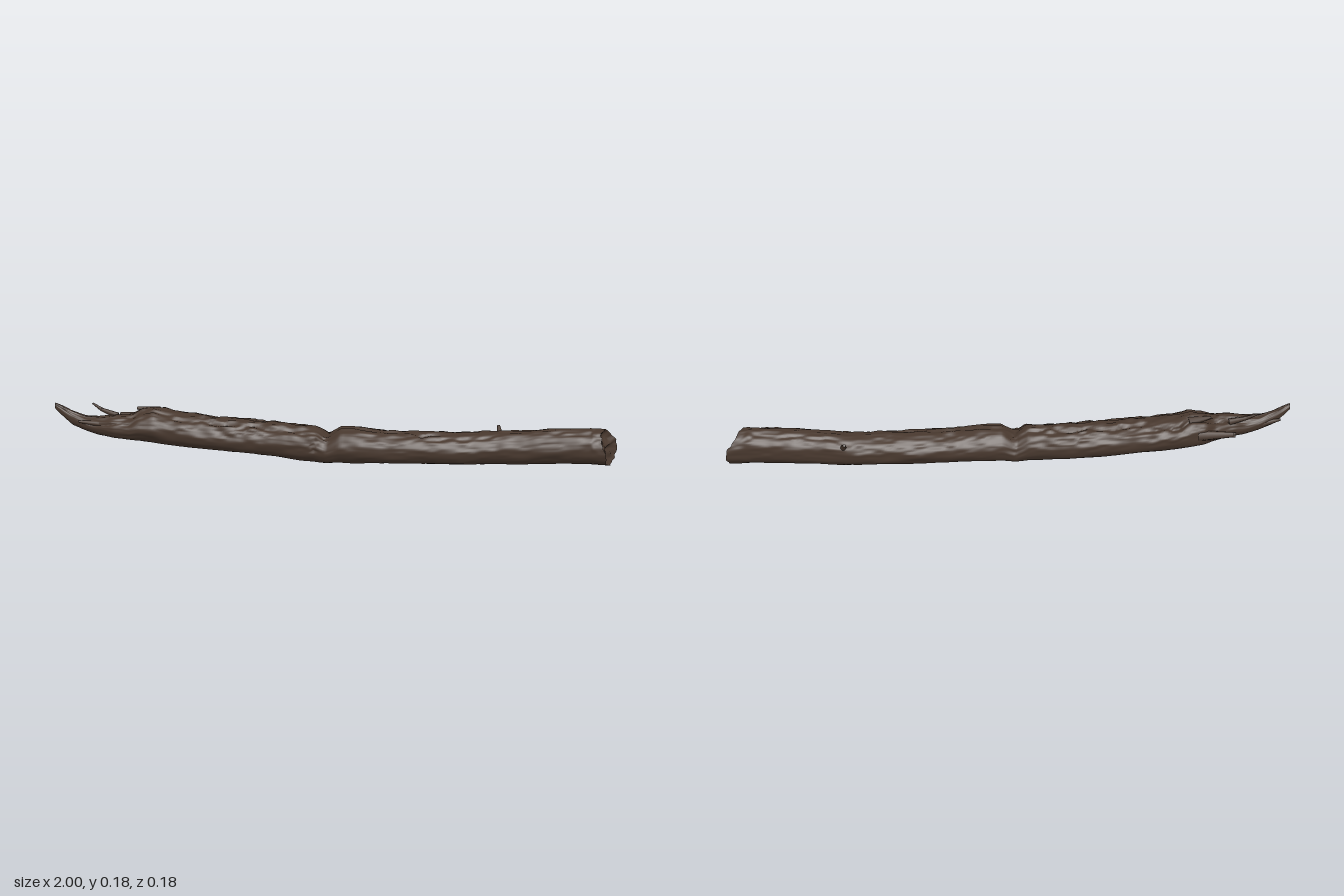
import * as THREE from 'three';

const SIDES = 72, RINGS = 230;

// outline of the log: x, bottom, top, back, front
const stations = [
  [-1.0, 0.165, 0.188, -0.003, 0.014],
  [-0.975, 0.14, 0.178, -0.01, 0.018],
  [-0.94, 0.108, 0.16, -0.012, 0.022],
  [-0.89, 0.09, 0.142, -0.022, 0.034],
  [-0.84, 0.076, 0.142, -0.03, 0.046],
  [-0.78, 0.067, 0.147, -0.036, 0.06],
  [-0.72, 0.06, 0.152, -0.06, 0.063],
  [-0.69, 0.057, 0.17, -0.08, 0.064],
  [-0.64, 0.05, 0.178, -0.089, 0.065],
  [-0.58, 0.044, 0.162, -0.088, 0.065],
  [-0.4, 0.03, 0.147, -0.085, 0.064],
  [-0.2, 0.015, 0.14, -0.076, 0.066],
  [-0.06, 0.007, 0.133, -0.06, 0.075],
  [-0.015, 0.004, 0.108, -0.057, 0.079],
  [0.03, 0.008, 0.136, -0.056, 0.083],
  [0.1, 0.01, 0.136, -0.055, 0.086],
  [0.2, 0.014, 0.127, -0.055, 0.083],
  [0.45, 0.017, 0.132, -0.056, 0.074],
  [0.58, 0.022, 0.139, -0.06, 0.066],
  [0.66, 0.026, 0.145, -0.047, 0.069],
  [0.8, 0.035, 0.159, -0.042, 0.075],
  [0.9, 0.039, 0.167, -0.038, 0.077],
  [1.0, 0.038, 0.164, -0.035, 0.075],
];

// long cracks: start x, end x, start angle, end angle (0 = top, positive = front), depth
const cracks = [
  [-0.86, -0.45, -0.5, -0.75, 0.012],
  [-0.75, -0.28, 0.35, 0.6, 0.008],
  [-0.5, -0.05, -0.45, -0.2, 0.009],
  [-0.35, -0.04, 0.5, 0.75, 0.006],
  [0.0, 0.45, -0.1, 0.3, 0.008],
  [0.25, 0.62, 0.75, 0.55, 0.004],
  [0.55, 0.92, -0.65, -0.4, 0.005],
  [-0.9, -0.7, 1.2, 0.9, 0.007],
];

const fract = (v) => v - Math.floor(v);
const hash = (x, y, z) => fract(Math.sin(x * 127.1 + y * 311.7 + z * 74.7) * 43758.5453);
const lerp = THREE.MathUtils.lerp;

// smooth value noise in -1..1
function noise(x, y, z) {
  const [i, j, k] = [x, y, z].map(Math.floor);
  const [u, v, w] = [x - i, y - j, z - k].map((t) => t * t * (3 - 2 * t));
  const edge = (b, c) => lerp(hash(i, j + b, k + c), hash(i + 1, j + b, k + c), u);
  return 2 * lerp(lerp(edge(0, 0), edge(1, 0), v), lerp(edge(0, 1), edge(1, 1), v), w) - 1;
}

function outlineAt(x) {
  let i = 0;
  while (i < stations.length - 2 && stations[i + 1][0] < x) i++;
  const a = stations[i], b = stations[i + 1];
  const t = (x - a[0]) / (b[0] - a[0]);
  return a.map((v, n) => lerp(v, b[n], t));
}

// one wobbling cross-section with bark grain and cracks
function logRing(x) {
  const [, bottom, top, back, front] = outlineAt(x);
  const ry = (top - bottom) / 2, rz = (front - back) / 2;
  const size = Math.min(1, Math.min(ry, rz) / 0.05);
  const ring = [];
  for (let j = 0; j < SIDES; j++) {
    const a = (j / SIDES) * Math.PI * 2;
    const c = Math.cos(a), s = Math.sin(a);
    const angle = a > Math.PI ? a - Math.PI * 2 : a;
    const upper = THREE.MathUtils.smoothstep(c, -0.3, 0.7);
    const worn = x < 0 ? 1 : 0.55;
    let d = 0.003 * noise(x * 9, c * 2 + 5, s * 2 + 5);
    d += (0.001 + 0.004 * upper * worn) * noise(x * 28, c * 7 + 9, s * 7 + 9);
    for (const [x0, x1, a0, a1, depth] of cracks) {
      const t = (x - x0) / (x1 - x0);
      if (t <= 0 || t >= 1) continue;
      const off = angle - lerp(a0, a1, t) - 0.18 * noise(x * 22, a0 * 10, 3);
      d -= depth * Math.min(1, 6 * t, 6 * (1 - t)) * Math.exp(-((off / 0.11) ** 2));
    }
    // cross crack that runs from the notch down the front
    if (angle > -0.6 && angle < 1.7) {
      const off = x + 0.015 + 0.03 * angle + 0.01 * noise(angle * 5, 1, 2);
      d -= 0.006 * Math.exp(-((off / 0.008) ** 2));
    }
    d *= size;
    const y = (bottom + top) / 2 + c * (ry + d);
    const z = (back + front) / 2 + s * (rz + d);
    // the broken right end slants toward the front and the top
    const w = Math.max(0, (x - 0.9) / 0.1);
    const cut = 0.045 * (z + 0.035) / 0.11 + 0.028 * Math.max(0, (y - 0.09) / 0.07)
      + 0.008 * noise(y * 60, z * 60, 4);
    ring.push(new THREE.Vector3(Math.min(1, x - w * Math.max(0, cut)), y, z));
  }
  return ring;
}

function loft(rings) {
  const n = rings[0].length, index = [];
  for (let i = 0; i < rings.length - 1; i++) {
    for (let j = 0; j < n; j++) {
      const k = (j + 1) % n;
      const a = i * n + j, b = i * n + k;
      index.push(a, b, a + n, b, b + n, a + n);
    }
  }
  const geometry = new THREE.BufferGeometry().setFromPoints(rings.flat());
  geometry.setIndex(index);
  geometry.computeVertexNormals();
  return geometry;
}

export function createModel() {
  const group = new THREE.Group();
  const bark = new THREE.MeshStandardMaterial({ color: 0x48382e });
  bark.name = 'dark bark';
  const add = (name, geometry) => {
    const mesh = new THREE.Mesh(geometry, bark);
    mesh.name = name;
    group.add(mesh);
    return mesh;
  };

  // main log
  const rings = [];
  for (let i = 0; i <= RINGS; i++) rings.push(logRing(-1 + (2 * i) / RINGS));
  add('log', loft(rings));

  // rough hollowed face on the right end, and the small left tip
  const closeEnd = (ring, dir) => {
    const centre = ring.reduce((sum, p) => sum.add(p), new THREE.Vector3()).divideScalar(ring.length);
    const loops = [1, 0.9, 0.75, 0.55, 0.35, 0.15, 0].map((f) => ring.map((p) => {
      const q = centre.clone().lerp(p, f);
      const rough = 0.012 + 0.008 * noise(q.y * 55, q.z * 55, 8);
      if (dir > 0) q.x -= rough * Math.min(1, (1 - f) * 4);
      return q;
    }));
    return loft(dir > 0 ? loops : loops.reverse());
  };
  add('brokenEnd', closeEnd(rings[RINGS], 1));
  add('tip', closeEnd(rings[0], -1));

  // splinters and twig stub: name, from, to, base radius, tip radius
  const spikes = [
    ['upperSplinter', [-0.78, 0.138, -0.02], [-0.845, 0.158, -0.03], 0.012, 0.006],
    ['upperSplinterTip', [-0.84, 0.157, -0.029], [-0.875, 0.176, -0.038], 0.007, 0.003],
    ['backSplinter', [-0.66, 0.118, -0.07], [-0.785, 0.122, -0.081], 0.02, 0.009],
    ['backSplinterTip', [-0.75, 0.124, -0.078], [-0.79, 0.118, -0.086], 0.009, 0.004],
    ['innerSplinter', [-0.7, 0.1, -0.045], [-0.8, 0.105, -0.05], 0.02, 0.005],
    ['frontSplinter', [-0.8, 0.12, 0.03], [-0.91, 0.13, 0.034], 0.014, 0.004],
    ['tipSplinter', [-0.9, 0.115, -0.005], [-0.965, 0.137, -0.018], 0.014, 0.004],
    ['topSplinter', [-0.63, 0.155, -0.035], [-0.71, 0.167, -0.03], 0.018, 0.005],
    ['twigStub', [0.59, 0.11, -0.04], [0.585, 0.137, -0.066], 0.012, 0.005],
  ];
  for (const [name, from, to, r0, r1] of spikes) {
    const a = new THREE.Vector3(...from), b = new THREE.Vector3(...to);
    const dir = b.clone().sub(a);
    const mesh = add(name, new THREE.CylinderGeometry(r1, r0, dir.length(), 9, 4));
    mesh.position.copy(a).add(b).multiplyScalar(0.5);
    mesh.quaternion.setFromUnitVectors(new THREE.Vector3(0, 1, 0), dir.normalize());
  }
  return group;
}
